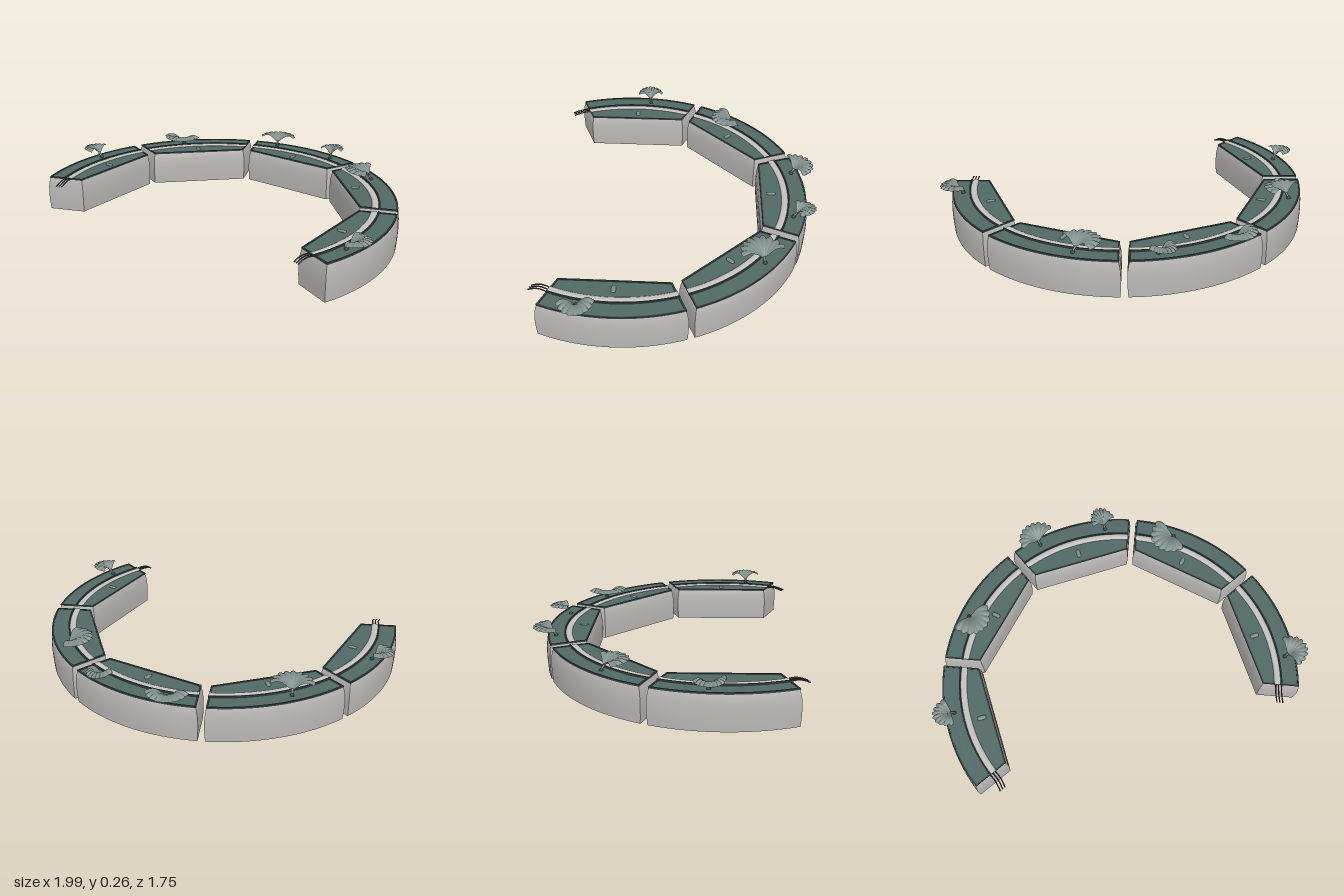
import * as THREE from 'three';

const mat = (name, color, side = THREE.FrontSide) =>
  Object.assign(new THREE.MeshStandardMaterial({ color, side }), { name });

const R = 0.997, CHORD = 0.73, GAP = 0.015, STEP = Math.PI / 4, CZ = 0.175;

export function createModel() {
  const model = new THREE.Group();
  model.name = 'curvedPlanterRing';
  const stone = mat('pale stone', 0xbcbab8, THREE.DoubleSide);
  const green = mat('dark green', 0x516966);
  const trimMat = mat('dark trim', 0x3b4647);
  const strip = mat('light strip', 0xc6c2c0);
  const leafMat = mat('grey green leaf', 0x7d8d8a, THREE.DoubleSide);
  const wireMat = mat('dark wire', 0x46464b);

  const add = (parent, name, geo, material) => {
    const mesh = new THREE.Mesh(geo, material);
    mesh.name = name;
    parent.add(mesh);
    return mesh;
  };

  // Outline of one 45 degree section: curved outside, straight inside, parallel gaps
  const ARC = 24;
  function sides(inset) {
    const g = GAP + inset, r = R - inset, d = CHORD + inset, b = STEP / 2;
    const a = Math.asin(g / r), arc = [];
    for (let i = 0; i <= ARC; i++) {
      const t = a + (STEP - 2 * a) * i / ARC;
      arc.push([r * Math.cos(t), r * Math.sin(t)]);
    }
    const u = (d - g * Math.sin(b)) / Math.cos(b);
    const p = [u, g];
    const q = [u * Math.cos(STEP) + g * Math.sin(STEP), u * Math.sin(STEP) - g * Math.cos(STEP)];
    return [arc, [arc[ARC], q], [q, p], [p, arc[0]]];
  }
  const outline = inset => {
    const s = sides(inset);
    return [...s[0], s[2][0], s[2][1]].map(p => new THREE.Vector2(...p));
  };
  const slab = (shape, y, h) => {
    const g = new THREE.ExtrudeGeometry(shape, { depth: h, bevelEnabled: false, curveSegments: 24 });
    return g.rotateX(Math.PI / 2).translate(0, y + h, 0);
  };

  // Grid surface from a point rule
  function grid(rows, cols, point) {
    const pos = [], idx = [];
    for (let j = 0; j <= rows; j++) for (let i = 0; i <= cols; i++) pos.push(...point(j, i));
    for (let j = 0; j < rows; j++) for (let i = 0; i < cols; i++) {
      const a = j * (cols + 1) + i, b = a + cols + 1;
      idx.push(a, b, a + 1, b, b + 1, a + 1);
    }
    const g = new THREE.BufferGeometry();
    g.setAttribute('position', new THREE.Float32BufferAttribute(pos, 3));
    g.setIndex(idx);
    g.computeVertexNormals();
    return g;
  }

  // Gently bulging walls, open underneath: [height, inset]
  const profile = [[0, 0.004], [0.05, 0.001], [0.1, 0], [0.14, 0.002], [0.17, 0.006], [0.19, 0.012]];
  const rings = profile.map(([, inset]) => sides(inset));
  const walls = [0, 1, 2, 3].map(s => grid(profile.length - 1, rings[0][s].length - 1, (j, i) => {
    const [x, z] = rings[j][s][i];
    return [x, profile[j][0], z];
  }));

  const plate = slab(new THREE.Shape(outline(0.012)), 0.186, 0.007);
  const trimShape = new THREE.Shape(outline(0.009));
  trimShape.holes.push(new THREE.Path(outline(0.017)));
  const trim = slab(trimShape, 0.188, 0.009);

  // Curved pale strip with a thin dark rail on its outer side
  const arcPoints = r => {
    const a = (GAP + 0.008) / r;
    return Array.from({ length: 17 }, (_, i) => {
      const t = a + (STEP - 2 * a) * i / 16;
      return new THREE.Vector3(r * Math.cos(t), 0, r * Math.sin(t));
    });
  };
  const band = new THREE.TubeGeometry(new THREE.CatmullRomCurve3(arcPoints(0.87)), 32, 0.018, 10);
  band.scale(1, 0.4, 1).translate(0, 0.193, 0);
  const railShape = new THREE.Shape();
  railShape.absarc(0, 0, 0.896, 0.025, STEP - 0.025, false);
  railShape.absarc(0, 0, 0.889, STEP - 0.025, 0.025, true);
  const rail = slab(railShape, 0.19, 0.012);

  // Small pill-shaped marker lying across the plate
  const marker = new THREE.CapsuleGeometry(0.012, 0.026, 4, 10);
  marker.rotateZ(Math.PI / 2).scale(1, 0.6, 1).translate(0.797, 0.194, 0).rotateY(-STEP / 2);

  for (let k = 0; k < 5; k++) {
    const section = new THREE.Group();
    section.name = 'section' + (k + 1);
    section.position.z = CZ;
    section.rotation.y = -(k - 4) * STEP;
    ['outerWall', 'endWallA', 'innerWall', 'endWallB'].forEach((n, i) => add(section, n, walls[i], stone));
    add(section, 'topPlate', plate, green);
    add(section, 'topTrim', trim, trimMat);
    add(section, 'paleStrip', band, strip);
    add(section, 'darkRail', rail, trimMat);
    add(section, 'marker', marker, leafMat);
    model.add(section);
  }

  // Three loose wires at each open end of the ring
  for (const [angle, dir] of [[-Math.PI, -1], [STEP, 1]]) {
    const wires = new THREE.Group();
    wires.name = 'endWires';
    wires.position.z = CZ;
    wires.rotation.y = -angle;
    for (const r of [0.86, 0.876, 0.892]) {
      const path = new THREE.CatmullRomCurve3([[0, 0.194, -0.04], [0, 0.196, 0.015], [0.004, 0.19, 0.045], [0.012, 0.178, 0.075]]
        .map(([x, y, z]) => new THREE.Vector3(r + x, y, dir * z)));
      add(wires, 'wire', new THREE.TubeGeometry(path, 12, 0.0035, 6), wireMat);
    }
    model.add(wires);
  }

  // Ribbed fan leaf with scalloped, drooping edge
  const LOBES = 9;
  const fan = (width, depth) => grid(8, LOBES * 6, (j, i) => {
    const s = i / (LOBES * 6), t = 0.06 + 0.94 * j / 8;
    const a = (s - 0.5) * Math.PI * 0.96;
    const lobe = Math.abs(Math.sin(s * LOBES * Math.PI));
    const r = t * (1 - 0.1 * t * (1 - lobe));
    return [width * r * Math.sin(a), 0.212 + 0.047 * Math.sin(2.35 * t) + 0.007 * t * (lobe - 0.4),
      0.012 + (depth - 0.012) * r * Math.cos(a)];
  });

  // Leaves: root x, root z, direction x, direction z, half width, depth
  const leaves = [
    [-0.834, -0.249, -1, -0.3, 0.08, 0.115],
    [-0.428, -0.655, 0, 1, 0.115, 0.145],
    [0.17, -0.751, 0, -1, 0.112, 0.125],
    [0.53, -0.585, 0.25, -1, 0.072, 0.12],
    [0.81, -0.286, -1, -0.05, 0.12, 0.15],
    [0.78, 0.68, 1, 0.25, 0.093, 0.125],
  ];
  for (const [x, z, dx, dz, w, d] of leaves) {
    const plant = new THREE.Group();
    plant.name = 'fanLeaf';
    plant.position.set(x, 0, z);
    plant.rotation.y = Math.atan2(dx, dz);
    add(plant, 'leafBlade', fan(w, d), leafMat);
    const stem = new THREE.CatmullRomCurve3([[0, 0.188, 0], [0, 0.203, 0.004], [0, 0.222, 0.02]]
      .map(p => new THREE.Vector3(...p)));
    add(plant, 'leafStem', new THREE.TubeGeometry(stem, 8, 0.006, 8), leafMat);
    add(plant, 'stemBase', new THREE.SphereGeometry(0.011, 12, 8).translate(0, 0.195, 0), trimMat);
    model.add(plant);
  }
  return model;
}
